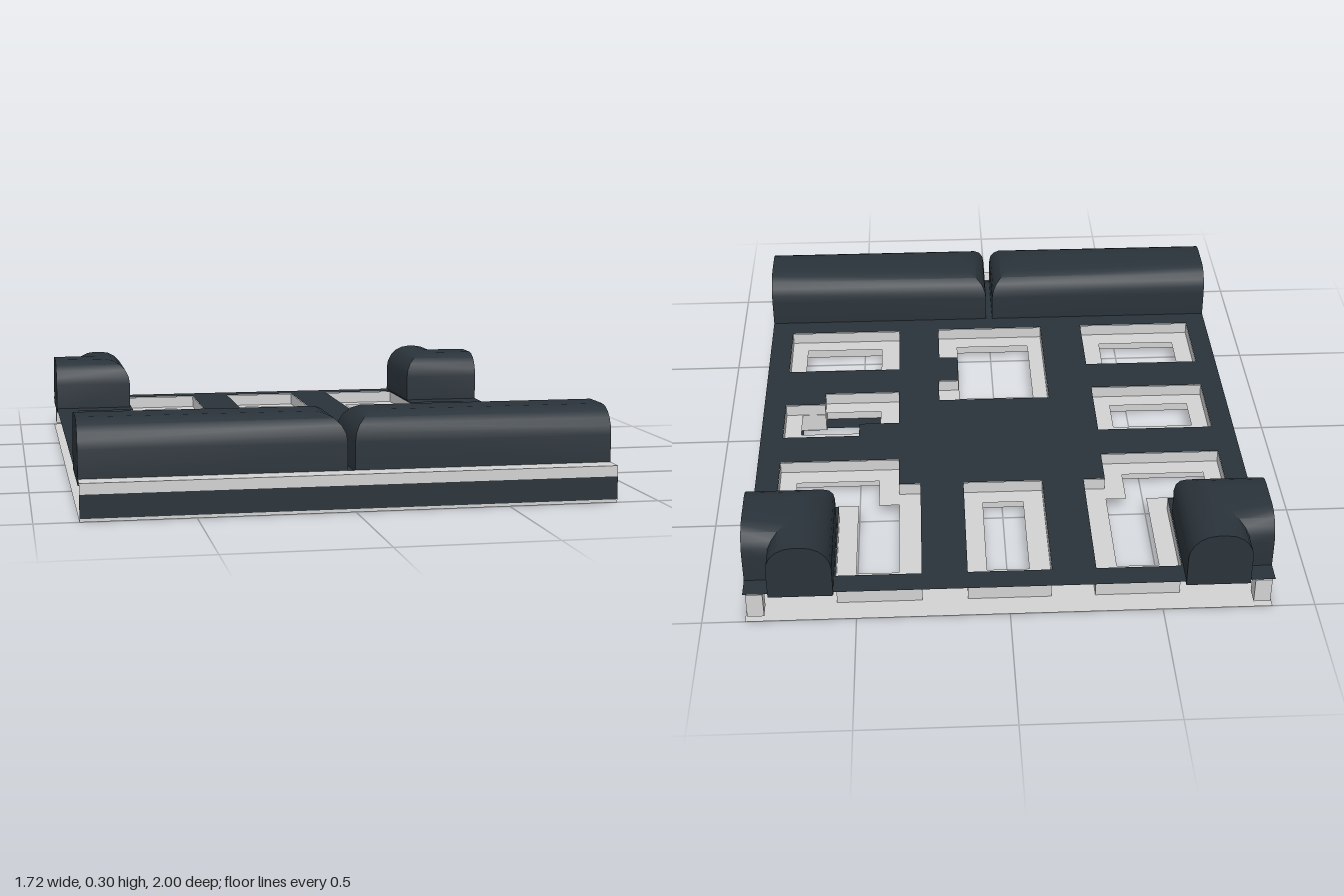
import * as THREE from 'three';
import { toCreasedNormals } from 'three/addons/utils/BufferGeometryUtils.js';

const dark = new THREE.MeshStandardMaterial({ color: 0x2a333a, side: THREE.DoubleSide });
dark.name = 'dark slate';
const grey = new THREE.MeshStandardMaterial({ color: 0xd2d2d2, side: THREE.DoubleSide });
grey.name = 'light grey';

const W = 0.86, TOP = 0.115, LIP = 0.085, LEDGE = 0.07;

const rect = (x0, x1, z0, z1) => [[x0, z0], [x1, z0], [x1, z1], [x0, z1]];
const mirror = (pts) => pts.map(([x, z]) => [-x, z]);

// L-shaped openings at the back, left one mirrored from the right
const backOuter = [[0.285, -0.92], [0.565, -0.92], [0.565, -0.56], [0.78, -0.56],
  [0.78, -0.295], [0.36, -0.295], [0.36, -0.44], [0.285, -0.44]];
const backInner = [[0.36, -0.86], [0.5, -0.86], [0.5, -0.5], [0.72, -0.5],
  [0.72, -0.36], [0.43, -0.36], [0.43, -0.5], [0.36, -0.5]];

// Opening with two stepped corners
const stepped = {
  outer: [[0.505, -0.145], [0.78, -0.145], [0.78, 0.06], [0.635, 0.06],
    [0.635, 0.13], [0.36, 0.13], [0.36, -0.07], [0.505, -0.07]],
  inner: [[0.43, -0.068], [0.72, -0.068], [0.72, 0.058], [0.633, 0.058], [0.633, 0.07], [0.43, 0.07]],
};

// Every opening: outline in the plates, smaller outline in the ledge between them
const openings = [
  { outer: backOuter, inner: backInner },
  { outer: mirror(backOuter), inner: mirror(backInner) },
  { outer: rect(-0.14, 0.135, -0.92, -0.44), inner: rect(-0.07, 0.07, -0.86, -0.5) },
  { outer: rect(-0.78, -0.365, -0.145, 0.13), inner: rect(-0.72, -0.43, -0.07, 0.07) },
  { outer: rect(-0.785, -0.36, 0.29, 0.57), inner: rect(-0.72, -0.43, 0.355, 0.5) },
  { outer: rect(0.36, 0.78, 0.285, 0.56), inner: rect(0.43, 0.72, 0.355, 0.5) },
  stepped,
  { // central opening with a notch on one side
    outer: [[-0.2, 0.07], [0.21, 0.07], [0.21, 0.2], [0.135, 0.2],
      [0.135, 0.36], [0.205, 0.36], [0.205, 0.565], [-0.2, 0.565]],
    inner: rect(-0.145, 0.133, 0.14, 0.5),
  },
];

function add(group, name, geometry, material) {
  const mesh = new THREE.Mesh(geometry, material);
  mesh.name = name;
  group.add(mesh);
  return mesh;
}

// Flat sheet with holes, facing up or down
function sheet(outline, holes, y, up) {
  const s = up ? -1 : 1;
  const vec = (pts) => pts.map(([x, z]) => new THREE.Vector2(x, s * z));
  const shape = new THREE.Shape(vec(outline));
  shape.holes = holes.map((h) => new THREE.Path(vec(h)));
  return new THREE.ShapeGeometry(shape).rotateX(s * Math.PI / 2).translate(0, y, 0);
}

// Surface through rows of [x, y, z] points
function loft(rows, flip = false) {
  const pos = [];
  for (let i = 0; i < rows.length - 1; i++) {
    for (let j = 0; j < rows[i].length - 1; j++) {
      const a = rows[i][j], b = rows[i][j + 1], c = rows[i + 1][j + 1], d = rows[i + 1][j];
      const tris = flip ? [a, c, b, a, d, c] : [a, b, c, a, c, d];
      pos.push(...tris.flat());
    }
  }
  const g = new THREE.BufferGeometry();
  g.setAttribute('position', new THREE.Float32BufferAttribute(pos, 3));
  g.computeVertexNormals();
  return toCreasedNormals(g, 0.7);
}

// Rounded shoulder: [inset, height] from the foot to the crown
const R = 0.09;
const shoulder = [[0, 0.1]];
for (let i = 0; i <= 5; i++) {
  const a = (i / 5) * Math.PI / 2;
  shoulder.push([R * (1 - Math.cos(a)), 0.21 + R * Math.sin(a)]);
}

// Front cushion: straight vault with a rounded inner end
function frontCushion(side) {
  const z0 = 0.64, z1 = 0.93, x0 = 0.012, mid = (z0 + z1) / 2;
  const rows = shoulder.map(([d, y]) => [
    [side * W, y, z1 - d], [side * (x0 + d), y, z1 - d],
    [side * (x0 + d), y, z0 + d], [side * W, y, z0 + d]]);
  rows.push([[side * W, 0.3, mid], [side * (x0 + R), 0.3, mid],
    [side * (x0 + R), 0.3, mid], [side * W, 0.3, mid]]);
  return loft(rows, side > 0);
}

// Corner cushion: vault that turns a right angle
function cornerCushion(side) {
  const outer = shoulder.map(([d, y]) => [
    [side * W, y, -0.64 - d], [side * (0.57 + d), y, -0.64 - d], [side * (0.57 + d), y, -1]]);
  const inner = shoulder.map(([d, y]) => [
    [side * W, y, -0.93 + d], [side * (0.78 - d), y, -0.93 + d], [side * (0.78 - d), y, -1]]);
  return loft([...outer, ...inner.reverse()], side > 0);
}

// Arched end caps, on a side edge or on the back edge
const sideCap = (side, z0, z1) => loft(
  shoulder.map(([d, y]) => [[side * W, y, z1 - d], [side * W, y, z0 + d]]), side < 0);
const backCap = (side) => loft(
  shoulder.map(([d, y]) => [[side * (0.78 - d), y, -1], [side * (0.57 + d), y, -1]]), side < 0);

export function createModel() {
  const model = new THREE.Group();
  model.name = 'floorPanel';

  // Plates
  const holes = openings.map((o) => o.outer);
  add(model, 'topPlate', sheet(rect(-W, W, -1, 0.93), holes, TOP, true), dark);
  add(model, 'bottomPlate', sheet(rect(-W, W, -1, 1), holes, 0, false), grey);

  // Upright walls and an inner ledge for each opening
  for (const { outer, inner } of openings) {
    const ring = [...outer, outer[0]];
    const rows = [0, TOP - 0.002].map((y) => ring.map(([x, z]) => [x, y, z]));
    add(model, 'openingWall', loft(rows, true), grey);
    add(model, 'openingLedge', sheet(outer, [inner], LEDGE, true), grey);
  }
  add(model, 'steppedOpeningRim', sheet(stepped.outer, [stepped.inner], 0, false), dark);

  // Front edge: dark stripe on a pale face, with a pale strip on top
  const line = (y, z) => [[-W, y, z], [W, y, z]];
  add(model, 'frontFoot', loft([line(0, 1), line(0.01, 1)]), grey);
  add(model, 'frontStripe', loft([line(0.01, 1), line(LIP, 1)]), dark);
  add(model, 'frontLip', loft([line(LIP, 1), line(0.12, 1), line(0.12, 0.93)]), grey);

  // Cushions and back corner posts
  for (const side of [-1, 1]) {
    add(model, 'frontCushion', frontCushion(side), dark);
    add(model, 'frontCushionEnd', sideCap(side, 0.64, 0.93), dark);
    add(model, 'cornerCushion', cornerCushion(side), dark);
    add(model, 'cornerCushionSideEnd', sideCap(side, -0.93, -0.64), dark);
    add(model, 'cornerCushionBackEnd', backCap(side), dark);
    add(model, 'cornerPost', new THREE.BoxGeometry(0.055, 0.09, 0.055), grey)
      .position.set(side * 0.825, 0.06, -0.965);
  }
  return model;
}
